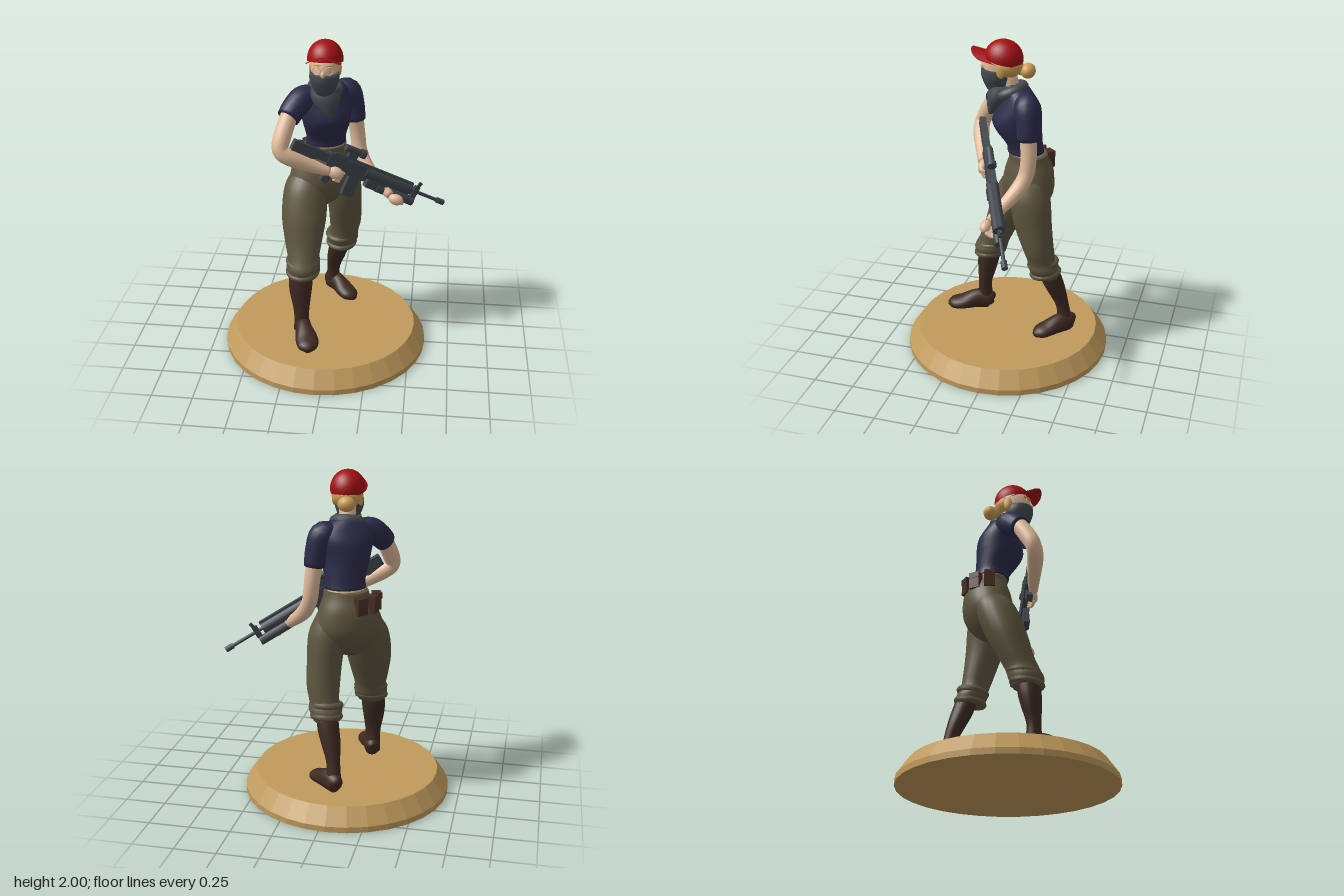
import * as THREE from 'three';

const V = (x, y, z) => new THREE.Vector3(x, y, z);
const paint = (name, color, side = THREE.FrontSide) => {
  const m = new THREE.MeshStandardMaterial({ color, side });
  m.name = name;
  return m;
};

// Smooth skin through sections [x, y, z, halfWidth, halfDepth, yaw].
// ref = null keeps the rings level; otherwise they stand square to the path.
function loft(rows, ref = null, seg = 20, sub = 4) {
  const path = new THREE.CatmullRomCurve3(rows.map(r => V(r[0], r[1], r[2])), false, 'catmullrom', 0.5);
  const size = new THREE.CatmullRomCurve3(rows.map(r => V(r[3], r[4] ?? r[3], r[5] ?? 0)), false, 'catmullrom', 0.5);
  const n = (rows.length - 1) * sub, pos = [], idx = [];
  const dir = Math.sign(rows.at(-1)[1] - rows[0][1]);
  for (let i = 0; i <= n; i++) {
    const c = path.getPoint(i / n), s = size.getPoint(i / n);
    const t = ref ? path.getTangent(i / n) : V(0, dir, 0);
    const u = ref ? t.clone().cross(ref).normalize() : V(Math.cos(s.z), 0, -Math.sin(s.z));
    const w = t.clone().cross(u);
    for (let j = 0; j < seg; j++) {
      const a = j / seg * Math.PI * 2;
      pos.push(...c.clone().addScaledVector(u, Math.cos(a) * s.x).addScaledVector(w, Math.sin(a) * s.y).toArray());
    }
  }
  for (let i = 0; i < n; i++) for (let j = 0; j < seg; j++) {
    const a = i * seg + j, b = i * seg + (j + 1) % seg;
    idx.push(a, b, b + seg, a, b + seg, a + seg);
  }
  // end caps
  for (const [row, base, end] of [[rows[0], 0, false], [rows.at(-1), n * seg, true]]) {
    const c = pos.length / 3;
    pos.push(row[0], row[1], row[2]);
    for (let j = 0; j < seg; j++) {
      const a = base + j, b = base + (j + 1) % seg;
      idx.push(c, ...(end ? [a, b] : [b, a]));
    }
  }
  const g = new THREE.BufferGeometry();
  g.setAttribute('position', new THREE.Float32BufferAttribute(pos, 3));
  g.setIndex(idx);
  g.computeVertexNormals();
  return g;
}

export function createModel() {
  const model = new THREE.Group();
  const wood = paint('tan base', 0xc09a5c), leather = paint('dark brown boots', 0x3e2a22);
  const olive = paint('olive cloth', 0x5f5640), navy = paint('navy cloth', 0x2b2c4a);
  const skin = paint('skin', 0xe2bb9c), scarfGrey = paint('grey scarf', 0x454b50);
  const metal = paint('gunmetal', 0x40464c), red = paint('red cap', 0xa31014, THREE.DoubleSide);
  const blond = paint('blond hair', 0xcf9f55), pouchBrown = paint('pouch brown', 0x4a2f24);
  const UP = V(0, 1, 0), FWD = V(0, 0, 1);

  const add = (name, geo, mat, x = 0, y = 0, z = 0, parent = model) => {
    const m = new THREE.Mesh(geo, mat);
    m.name = name;
    m.position.set(x, y, z);
    parent.add(m);
    return m;
  };
  const ball = (name, mat, x, y, z, rx, ry, rz) => {
    const m = add(name, new THREE.SphereGeometry(1, 18, 12), mat, x, y, z);
    m.scale.set(rx, ry, rz);
    return m;
  };

  // Round display base with a bevelled rim
  const baseGeo = new THREE.LatheGeometry([[0, 0], [0.64, 0], [0.64, 0.035], [0.57, 0.135], [0, 0.135]]
    .map(p => new THREE.Vector2(...p)), 32).toNonIndexed();
  baseGeo.computeVertexNormals();
  add('base', baseGeo, wood, -0.04, 0, 0);

  // Boots: shaft and foot
  add('rightBootShaft', loft([[-0.17, 0.17, 0.185, 0.05, 0.05], [-0.17, 0.24, 0.19, 0.046, 0.046], [-0.17, 0.32, 0.192, 0.05, 0.042],
    [-0.175, 0.42, 0.18, 0.066, 0.058], [-0.175, 0.5, 0.17, 0.074, 0.068], [-0.17, 0.6, 0.155, 0.072, 0.066]]), leather);
  add('rightFoot', loft([[-0.178, 0.185, 0.14, 0.02, 0.035], [-0.172, 0.195, 0.165, 0.048, 0.06], [-0.15, 0.2, 0.24, 0.052, 0.065],
    [-0.118, 0.18, 0.33, 0.07, 0.045], [-0.105, 0.17, 0.395, 0.058, 0.035], [-0.1, 0.16, 0.425, 0.02, 0.015]], UP), leather);
  add('leftBootShaft', loft([[-0.035, 0.17, -0.385, 0.05, 0.05], [-0.033, 0.24, -0.375, 0.044, 0.044], [-0.028, 0.32, -0.36, 0.042, 0.042],
    [-0.008, 0.42, -0.33, 0.058, 0.056], [0.012, 0.5, -0.305, 0.065, 0.066], [0.03, 0.6, -0.275, 0.066, 0.066]]), leather);
  add('leftFoot', loft([[-0.068, 0.185, -0.425, 0.02, 0.035], [-0.052, 0.195, -0.405, 0.046, 0.06], [0.0, 0.2, -0.355, 0.05, 0.065],
    [0.06, 0.18, -0.285, 0.062, 0.045], [0.1, 0.17, -0.245, 0.054, 0.035], [0.125, 0.16, -0.22, 0.02, 0.015]], UP), leather);

  // Trousers: hips, legs and gathered cuffs
  add('trouserHips', loft([[-0.08, 0.92, -0.1, 0.05, 0.05, 0.6], [-0.08, 0.98, -0.1, 0.15, 0.11, 0.6], [-0.075, 1.08, -0.115, 0.208, 0.15, 0.57],
    [-0.07, 1.2, -0.125, 0.18, 0.145, 0.52], [-0.06, 1.28, -0.125, 0.142, 0.12, 0.5], [-0.055, 1.32, -0.12, 0.132, 0.113, 0.5]], null, 28), olive);
  add('rightTrouserLeg', loft([[-0.15, 1.16, -0.07, 0.09, 0.09], [-0.165, 1.06, -0.035, 0.128, 0.125], [-0.168, 0.9, 0.025, 0.138, 0.125],
    [-0.166, 0.75, 0.085, 0.115, 0.105], [-0.162, 0.66, 0.125, 0.098, 0.1], [-0.16, 0.6, 0.148, 0.104, 0.104], [-0.165, 0.545, 0.155, 0.085, 0.084]], null, 24), olive);
  add('leftTrouserLeg', loft([[0.02, 1.18, -0.16, 0.09, 0.09], [0.045, 1.06, -0.165, 0.115, 0.12], [0.06, 0.9, -0.185, 0.106, 0.115],
    [0.062, 0.75, -0.22, 0.1, 0.095], [0.052, 0.66, -0.24, 0.09, 0.086], [0.042, 0.61, -0.252, 0.1, 0.094], [0.03, 0.55, -0.268, 0.082, 0.082]], null, 24), olive);
  for (const [side, x, z, r] of [['right', -0.163, 0.152, 0.086], ['left', 0.034, -0.262, 0.08]])
    for (const [k, y] of [0.57, 0.635].entries()) {
      const cuff = add(side + 'Cuff', new THREE.TorusGeometry(r, 0.02, 8, 24), olive, x, y, z - k * 0.016 * Math.sign(z));
      cuff.rotation.x = Math.PI / 2 + 0.18;
    }

  // Belt pouches on the right rear of the waist
  for (const [x, z] of [[-0.228, -0.06], [-0.222, -0.15], [-0.165, -0.222]]) {
    const ry = Math.atan2(x + 0.065, z + 0.125);
    for (const [h, d, y] of [[0.095, 0.045, 1.245], [0.035, 0.053, 1.282]])
      add('beltPouch', new THREE.BoxGeometry(0.065, h, d), pouchBrown, x, y, z).rotation.set(0, ry, 0);
  }

  // Torso: bare waist and shirt
  add('waist', loft([[-0.055, 1.28, -0.12, 0.115, 0.1, 0.5], [-0.045, 1.4, -0.1, 0.108, 0.095, 0.5]]), skin);
  add('shirt', loft([[-0.048, 1.332, -0.108, 0.124, 0.108, 0.5], [-0.045, 1.38, -0.1, 0.122, 0.108, 0.5], [-0.04, 1.47, -0.065, 0.14, 0.138, 0.52],
    [-0.04, 1.53, -0.055, 0.15, 0.147, 0.55], [-0.045, 1.61, -0.065, 0.165, 0.125, 0.57], [-0.045, 1.68, -0.06, 0.155, 0.09, 0.57],
    [-0.045, 1.725, -0.05, 0.085, 0.07, 0.5], [-0.045, 1.745, -0.04, 0.05, 0.05, 0.5]], null, 28), navy);
  add('rightSleeve', loft([[-0.1, 1.665, -0.02, 0.055], [-0.165, 1.65, 0.035, 0.075], [-0.208, 1.61, 0.09, 0.073], [-0.238, 1.565, 0.14, 0.067]], FWD), navy);
  add('leftSleeve', loft([[0.02, 1.67, -0.115, 0.05], [0.08, 1.645, -0.145, 0.075], [0.112, 1.56, -0.16, 0.066], [0.124, 1.46, -0.165, 0.062]], FWD), navy);

  // Arms
  add('rightArm', loft([[-0.225, 1.6, 0.12, 0.05], [-0.262, 1.48, 0.195, 0.052], [-0.272, 1.4, 0.232, 0.048], [-0.21, 1.35, 0.222, 0.05],
    [-0.08, 1.28, 0.175, 0.038], [0.0, 1.245, 0.15, 0.027]], FWD), skin);
  add('leftArm', loft([[0.12, 1.5, -0.165, 0.05], [0.138, 1.36, -0.175, 0.047], [0.155, 1.25, -0.162, 0.046], [0.205, 1.16, -0.115, 0.045],
    [0.3, 1.075, -0.04, 0.034], [0.355, 1.035, -0.005, 0.026]], FWD), skin);
  // Hands with curled fingers
  ball('rightHand', skin, 0.035, 1.23, 0.135, 0.05, 0.038, 0.03).rotation.z = -0.4;
  ball('leftHand', skin, 0.39, 1.015, 0.01, 0.046, 0.034, 0.032).rotation.z = -0.3;
  for (let i = 0; i < 4; i++) {
    const k = i * 0.017;
    add('rightFinger', loft([[0.055 - k * 0.6, 1.245 - k, 0.145, 0.011], [0.082 - k * 0.6, 1.225 - k, 0.125, 0.011], [0.078 - k * 0.6, 1.215 - k, 0.095, 0.009]], UP, 8), skin);
    add('leftFinger', loft([[0.375 + k * 0.9, 1.01 - k * 0.4, 0.0, 0.012], [0.378 + k * 0.9, 0.992 - k * 0.4, -0.035, 0.012], [0.38 + k * 0.9, 0.995 - k * 0.4, -0.07, 0.009]], UP, 8), skin);
  }

  // Neck, head and face
  add('neck', loft([[-0.045, 1.68, -0.03, 0.05, 0.05], [-0.038, 1.82, 0.01, 0.05, 0.055]]), skin);
  add('head', loft([[-0.035, 1.71, 0.08, 0.03, 0.035], [-0.035, 1.76, 0.07, 0.06, 0.07], [-0.035, 1.82, 0.045, 0.077, 0.1],
    [-0.035, 1.88, 0.03, 0.083, 0.108], [-0.035, 1.94, 0.025, 0.07, 0.085]]), skin);
  ball('nose', skin, -0.035, 1.832, 0.148, 0.013, 0.022, 0.018);
  for (const s of [-1, 1]) {
    const x = -0.035 + s * 0.036;
    add('glassesRim', new THREE.TorusGeometry(0.023, 0.003, 6, 20), skin, x, 1.855, 0.145).rotation.y = s * 0.3;
    ball('eyebrow', blond, x, 1.884, 0.128, 0.024, 0.006, 0.008).rotation.y = s * 0.3;
    ball('sideHair', blond, -0.035 + s * 0.08, 1.835, 0.02, 0.014, 0.045, 0.028);
  }

  // Hair and bun
  ball('hair', blond, -0.035, 1.855, -0.005, 0.09, 0.075, 0.085);
  ball('hairBun', blond, -0.055, 1.822, -0.115, 0.052, 0.045, 0.045);
  ball('hairTie', blond, -0.045, 1.825, -0.075, 0.028, 0.03, 0.03);

  // Face mask, neck wrap and hanging point
  add('faceMask', loft([[-0.035, 1.655, 0.03, 0.05, 0.05], [-0.035, 1.715, 0.06, 0.062, 0.07], [-0.035, 1.78, 0.068, 0.085, 0.09],
    [-0.035, 1.828, 0.07, 0.086, 0.09]], null, 24), scarfGrey);
  const wrap = add('scarfWrap', new THREE.TorusGeometry(0.075, 0.034, 10, 24), scarfGrey, -0.042, 1.7, -0.015);
  wrap.rotation.x = Math.PI / 2 + 0.35;
  add('scarfPoint', loft([[-0.035, 1.735, 0.03, 0.08, 0.07], [-0.032, 1.67, 0.05, 0.088, 0.072], [-0.018, 1.61, 0.075, 0.052, 0.045],
    [0.0, 1.56, 0.095, 0.012, 0.014]]), scarfGrey);

  // Cap: tilted dome and arched peak
  const dome = add('capCrown', new THREE.SphereGeometry(1, 28, 12, 0, Math.PI * 2, 0, Math.PI * 0.54), red, -0.035, 1.892, 0.025);
  dome.scale.set(0.104, 0.11, 0.115);
  dome.rotation.x = -0.2;
  const peak = new THREE.PlaneGeometry(2, 1, 20, 5), pp = peak.attributes.position;
  for (let i = 0; i < pp.count; i++) {
    const a = pp.getX(i) * 1.4, v = pp.getY(i) + 0.5;
    const x = 0.103 * Math.sin(a);
    const root = 0.02 + 0.108 * Math.cos(a), tip = 0.03 + 0.187 * Math.cos(a) ** 0.5;
    pp.setXYZ(i, x - 0.035, 1.928 + 0.018 * v - 0.06 * (x / 0.103) ** 2, THREE.MathUtils.lerp(root, tip, v));
  }
  peak.computeVertexNormals();
  add('capPeak', peak, red);

  // Rifle, built along its own x axis from stock to muzzle
  const rifle = new THREE.Group();
  rifle.name = 'rifle';
  const dir = V(0.875, -0.525, -0.4).normalize();
  const up = UP.clone().addScaledVector(dir, -dir.y).normalize();
  rifle.quaternion.setFromRotationMatrix(new THREE.Matrix4().makeBasis(dir, up, dir.clone().cross(up)));
  rifle.position.set(-0.2, 1.44, 0.21);
  model.add(rifle);
  const box = (name, x0, x1, y0, y1, w, tilt = 0) => {
    add(name, new THREE.BoxGeometry(x1 - x0, y1 - y0, w), metal, (x0 + x1) / 2, (y0 + y1) / 2, 0, rifle).rotation.z = tilt;
  };
  const rod = (name, x0, x1, y, r, seg = 12) => {
    add(name, new THREE.CylinderGeometry(r, r, x1 - x0, seg), metal, (x0 + x1) / 2, y, 0, rifle).rotation.z = Math.PI / 2;
  };
  const stock = new THREE.Shape([[0, 0.025], [0.25, 0.025], [0.25, -0.03], [0.18, -0.03], [0, -0.095]].map(p => new THREE.Vector2(...p)));
  add('stock', new THREE.ExtrudeGeometry(stock, { depth: 0.04, bevelEnabled: false }), metal, 0, 0, -0.02, rifle);
  box('receiver', 0.24, 0.52, -0.055, 0.035, 0.05);
  box('magazine', 0.42, 0.49, -0.18, -0.04, 0.036, 0.08);
  box('pistolGrip', 0.27, 0.315, -0.15, -0.04, 0.036, -0.3);
  box('topRail', 0.27, 0.84, 0.03, 0.045, 0.024);
  box('sightMount', 0.35, 0.41, 0.04, 0.08, 0.025);
  rod('sight', 0.315, 0.44, 0.095, 0.021);
  rod('sightLens', 0.42, 0.45, 0.095, 0.028);
  rod('handguard', 0.5, 0.84, 0.0, 0.037, 8);
  rod('underBarrelTube', 0.62, 0.89, -0.065, 0.029);
  box('underBarrelMount', 0.54, 0.68, -0.085, -0.02, 0.04);
  box('frontSightBase', 0.86, 0.895, -0.04, 0.035, 0.02);
  box('frontSightPost', 0.875, 0.895, 0.03, 0.065, 0.012, -0.25);
  rod('barrel', 0.82, 1.08, 0, 0.011);
  rod('muzzle', 1.045, 1.096, 0, 0.018);

  return model;
}
